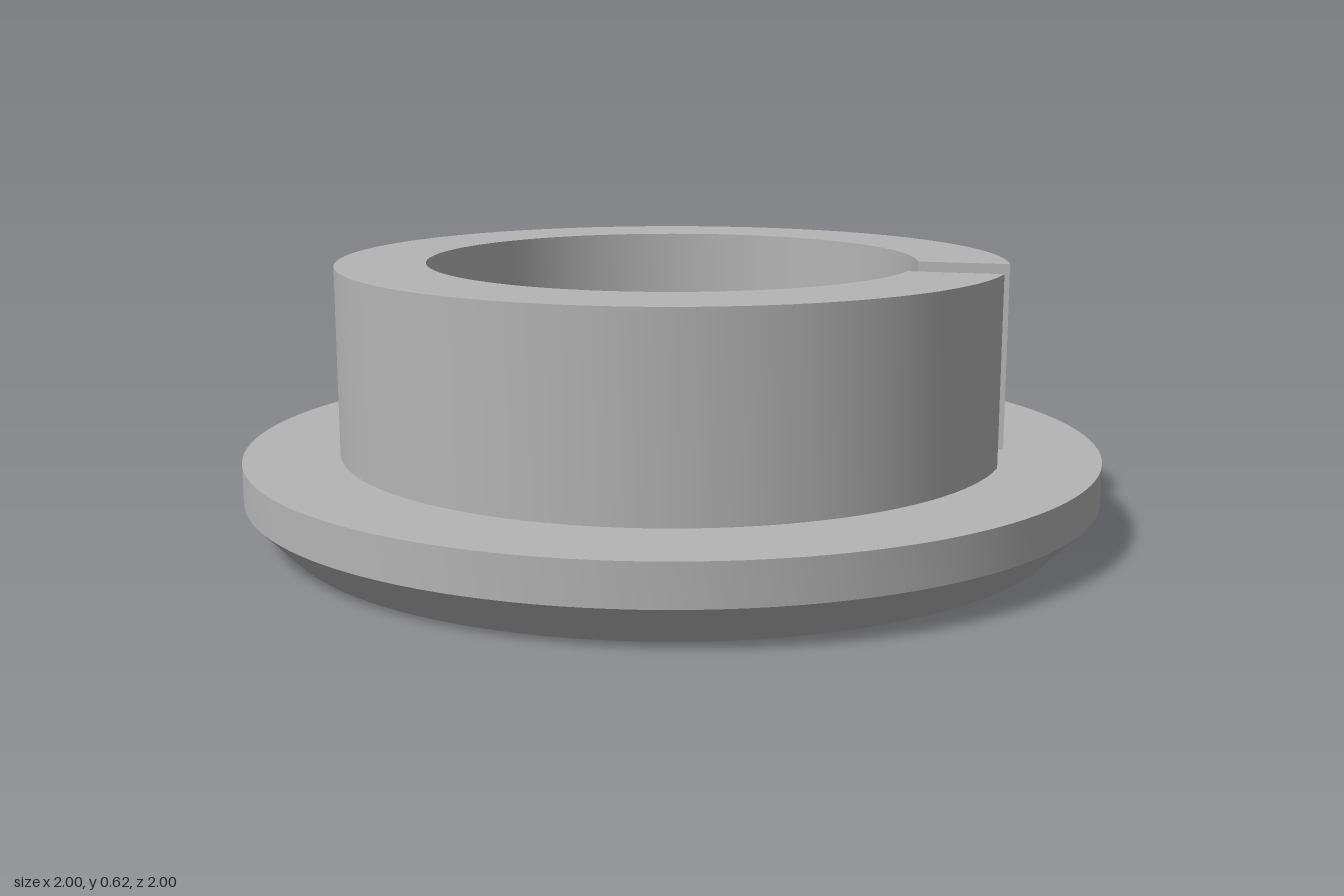
import * as THREE from 'three';
import { toCreasedNormals } from 'three/addons/utils/BufferGeometryUtils.js';

export function createModel() {
  const group = new THREE.Group();
  group.name = 'slottedPlug';
  const grey = new THREE.MeshStandardMaterial({ color: 0xb4b4b4 });
  grey.name = 'grey';

  const add = (name, geometry) => {
    const mesh = new THREE.Mesh(toCreasedNormals(geometry, 0.4), grey);
    mesh.name = name;
    group.add(mesh);
  };

  // Solid flange with a chamfered lower edge
  const flangeTop = 0.185;
  const profile = [[0, 0], [0.91, 0], [1, 0.093], [1, flangeTop], [0, flangeTop]];
  add('flange', new THREE.LatheGeometry(profile.map(([r, y]) => new THREE.Vector2(r, y)), 128));

  // Upright collar, cut by a parallel-sided slot on the +x side
  const outer = 0.78, inner = 0.572, halfSlot = 0.094, height = 0.435;
  const a = Math.asin(halfSlot / outer), b = Math.asin(halfSlot / inner);
  const ring = new THREE.Shape();
  ring.absarc(0, 0, outer, a, 2 * Math.PI - a, false);
  ring.absarc(0, 0, inner, 2 * Math.PI - b, b, true);
  ring.closePath();
  const collar = new THREE.ExtrudeGeometry(ring, { depth: height, bevelEnabled: false, curveSegments: 64 });
  collar.rotateX(-Math.PI / 2);
  collar.translate(0, flangeTop, 0);
  add('slottedCollar', collar);

  return group;
}
